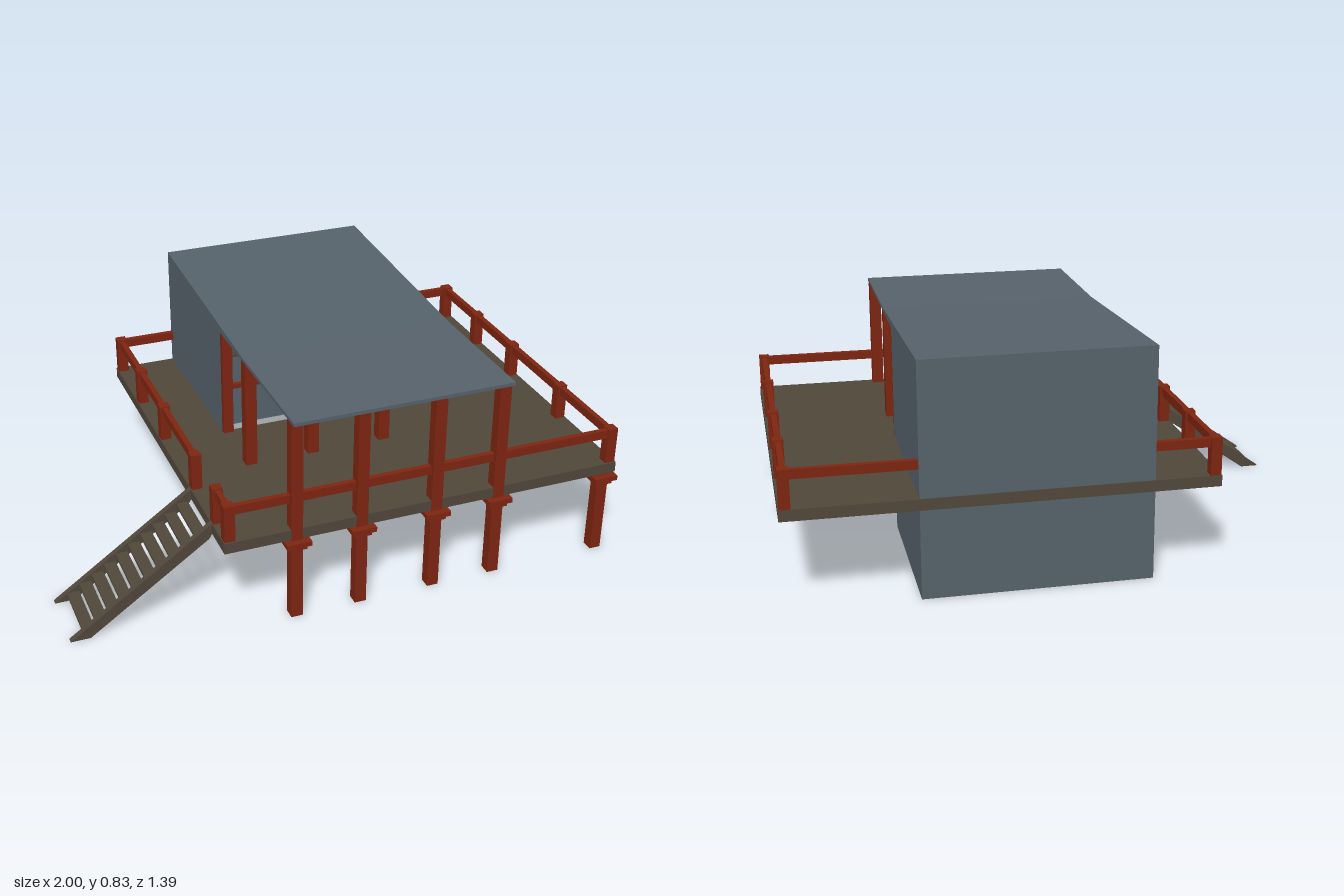
import * as THREE from 'three';

export function createModel() {
  const model = new THREE.Group();
  const slate = new THREE.MeshStandardMaterial({ color: 0x56626b, side: THREE.DoubleSide });
  slate.name = 'slate grey';
  const timber = new THREE.MeshStandardMaterial({ color: 0x51473b });
  timber.name = 'weathered brown';
  const red = new THREE.MeshStandardMaterial({ color: 0x7e2511 });
  red.name = 'rust red';

  function add(name, geometry, material) {
    const mesh = new THREE.Mesh(geometry, material);
    mesh.name = name;
    model.add(mesh);
    return mesh;
  }
  // Box given by its minimum and maximum on each axis
  function box(name, material, x0, x1, y0, y1, z0, z1) {
    const mesh = add(name, new THREE.BoxGeometry(x1 - x0, y1 - y0, z1 - z0), material);
    mesh.position.set((x0 + x1) / 2, (y0 + y1) / 2, (z0 + z1) / 2);
    return mesh;
  }
  const post = (name, x, z, y0, y1, w) =>
    box(name, red, x - w / 2, x + w / 2, y0, y1, z - w / 2, z + w / 2);
  const outline = (points) => new THREE.Shape(points.map(([a, b]) => new THREE.Vector2(a, b)));

  const L = -0.255, R = 0.545, back = -0.695, front = -0.05;
  const deckY0 = 0.318, deckY1 = 0.358, eave = 0.767;

  // Deck, wrapped around the open-floored house
  box('deckFront', timber, -0.49, 1, deckY0, deckY1, front, 0.67);
  box('deckRightSide', timber, -0.49, L, deckY0, deckY1, -0.698, front);
  box('deckLeftSide', timber, R, 1, deckY0, deckY1, -0.698, front);
  box('deckBackEdge', timber, L, R, deckY0, deckY1, -0.698, back);

  // House walls; the front is open above the deck
  for (const x of [L, R]) {
    const wall = add('sideWall', new THREE.PlaneGeometry(front - back, eave), slate);
    wall.rotation.y = x > 0 ? Math.PI / 2 : -Math.PI / 2;
    wall.position.set(x, eave / 2, (front + back) / 2);
  }
  const backWall = add('backWall', new THREE.PlaneGeometry(R - L, eave), slate);
  backWall.rotation.y = Math.PI;
  backWall.position.set((L + R) / 2, eave / 2, back);
  const lowerWall = add('lowerFrontWall', new THREE.PlaneGeometry(R - L, deckY0), slate);
  lowerWall.position.set((L + R) / 2, deckY0 / 2, front);

  // Roof: flat over the porch, rising to the back
  const roofShape = outline([[0.695, eave], [0.695, 0.78], [0.19, 0.78], [back, 0.829], [back, eave]]);
  const roof = add('roof', new THREE.ExtrudeGeometry(roofShape, { depth: R - L, bevelEnabled: false }), slate);
  roof.rotation.y = -Math.PI / 2;
  roof.position.x = R;

  // Porch posts, front capitals and short deck supports
  const porchX = [-0.233, 0.005, 0.285, 0.525];
  for (const x of porchX) {
    post('porchPost', x, 0.65, 0, eave, 0.042);
    post('porchPost', x, 0.198, 0, eave, 0.042);
  }
  for (const z of [0.65, 0.198]) post('deckSupport', 0.952, z, 0, deckY0, 0.042);
  for (const x of [...porchX, 0.952]) {
    post('capitalUpper', x, 0.65, 0.297, 0.315, 0.09);
    post('capitalLower', x, 0.65, 0.279, 0.297, 0.064);
  }

  // Frame of the house opening
  for (const x of [-0.235, 0.525]) box('openingPost', red, x - 0.019, x + 0.019, deckY1, eave, -0.065, -0.032);
  box('openingRail', red, -0.216, 0.506, 0.533, 0.55, -0.06, -0.042);

  // Railing, with a gap for the stairs
  for (const z of [-0.678, -0.388, -0.085, 0.29, 0.645]) {
    post('railingPost', -0.468, z, deckY1, 0.494, 0.038);
    post('railingPost', 0.978, z, deckY1, 0.494, 0.038);
  }
  post('railingPost', -0.468, 0.525, deckY1, 0.494, 0.036);
  const rail = (x0, x1, z0, z1) => box('handrail', red, x0, x1, 0.458, 0.49, z0, z1);
  rail(0.968, 0.988, -0.678, 0.645);
  rail(-0.478, -0.458, -0.678, 0.29);
  rail(-0.478, -0.458, 0.525, 0.645);
  rail(-0.468, 0.978, 0.638, 0.658);
  rail(-0.468, L, -0.688, -0.668);
  rail(R, 0.978, -0.688, -0.668);

  // Stairs: two stringers and open treads
  const stringer = outline([[-1, 0], [-0.93, 0], [-0.5, 0.3], [-0.488, 0.32], [-0.488, 0.358]]);
  for (const z of [0.28, 0.515]) {
    const side = add('stairStringer', new THREE.ExtrudeGeometry(stringer, { depth: 0.022, bevelEnabled: false }), timber);
    side.position.z = z;
  }
  for (let i = 0; i < 10; i++) {
    const x = -0.955 + i * 0.0455, y = 0.022 + i * 0.031;
    box('stairTread', timber, x, x + 0.043, y, y + 0.01, 0.302, 0.515);
  }
  return model;
}
